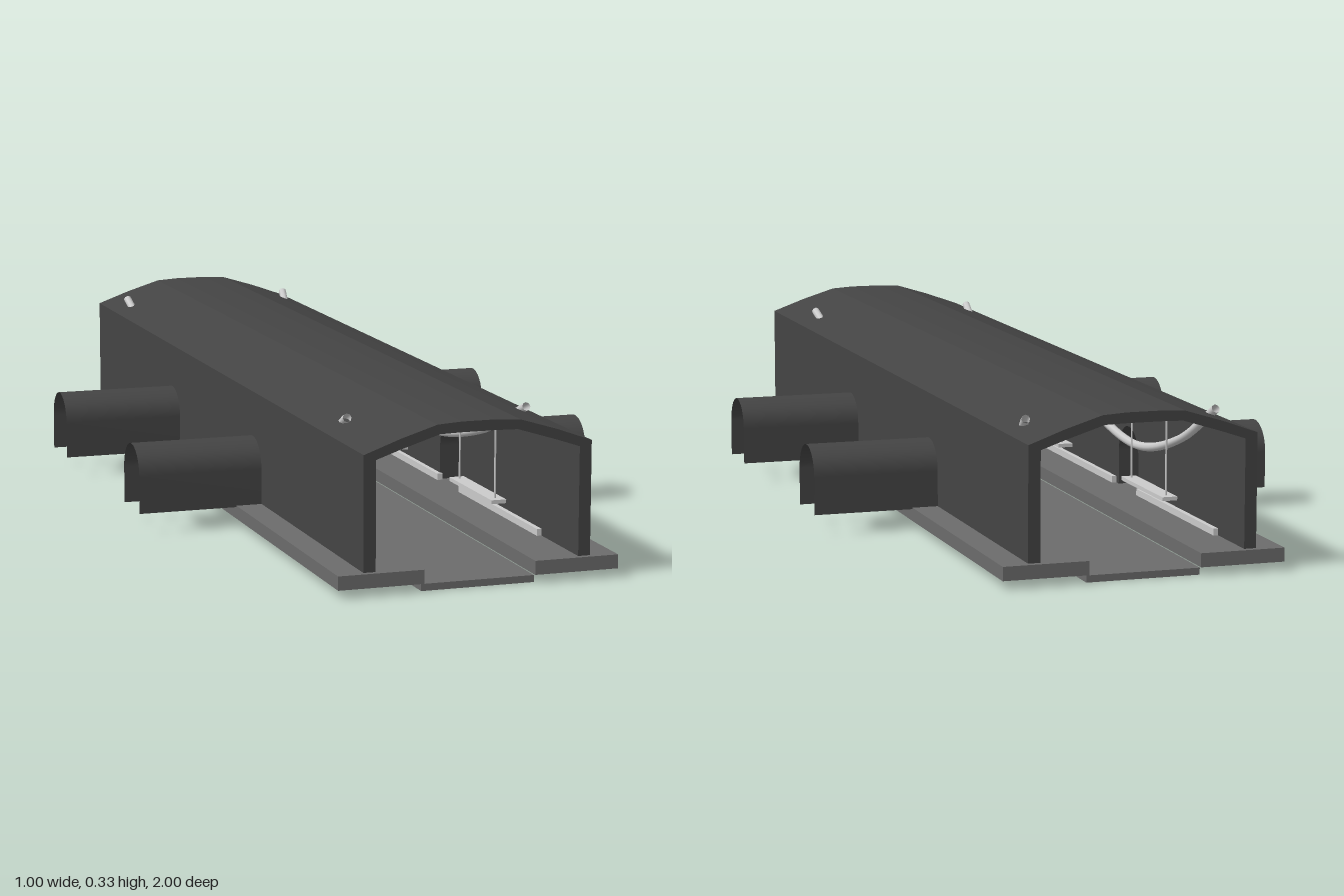
import * as THREE from 'three';

const mat = (color) => new THREE.MeshStandardMaterial({ color, side: THREE.DoubleSide });

export function createModel() {
  const station = new THREE.Group();
  station.name = 'tunnelHall';
  const dark = mat(0x444444), concrete = mat(0x6c6c6c), light = mat(0xcccccc);
  const archZ = [0.28, -0.335], archR = 0.06, floorY = 0.044, springY = 0.12;

  const add = (name, geometry, material, x = 0, y = 0, z = 0) => {
    const mesh = new THREE.Mesh(geometry, material);
    mesh.name = name;
    mesh.position.set(x, y, z);
    station.add(mesh);
    return mesh;
  };
  const box = (name, material, x0, x1, y0, y1, z0, z1) =>
    add(name, new THREE.BoxGeometry(x1 - x0, y1 - y0, z1 - z0), material,
      (x0 + x1) / 2, (y0 + y1) / 2, (z0 + z1) / 2);

  // Sunken track bed
  box('trackBed', concrete, -0.117, 0.117, 0, 0.014, -0.988, 0.988);

  // Vaulted roof slab, one folded section along the hall
  const roof = new THREE.Shape();
  const outer = [[0.235, 0.275], [0.16, 0.302], [0.085, 0.325], [0.035, 0.328]];
  const inner = [[0.035, 0.307], [0.08, 0.306], [0.16, 0.281], [0.21, 0.264], [0.235, 0.264]];
  const mirror = (list) => list.map(([x, y]) => [-x, y]).reverse();
  const section = [...outer, ...mirror(outer), ...mirror(inner), ...inner];
  roof.setFromPoints(section.map(([x, y]) => new THREE.Vector2(x, y)));
  add('roof', new THREE.ExtrudeGeometry(roof, { depth: 1.975, bevelEnabled: false }), dark, 0, 0, -0.987);

  // Wall outline in (-z, y), with an open archway for each side passage
  const wall = new THREE.Shape();
  wall.moveTo(-0.988, floorY);
  for (const z of archZ) {
    wall.lineTo(-z - archR, floorY);
    wall.lineTo(-z - archR, springY);
    wall.absarc(-z, springY, archR, Math.PI, 0, true);
    wall.lineTo(-z + archR, floorY);
  }
  wall.lineTo(0.987, floorY);
  wall.lineTo(0.987, 0.266);
  wall.lineTo(-0.988, 0.266);
  const wallGeometry = new THREE.ExtrudeGeometry(wall, { depth: 0.025, bevelEnabled: false, curveSegments: 16 });
  wallGeometry.rotateY(Math.PI / 2);

  // Thin arched passage: a sheet bent over straight sides and a half circle
  const passage = new THREE.PlaneGeometry(1, 1, 1, 18);
  const p = passage.attributes.position;
  for (let i = 0; i < p.count; i++) {
    const row = Math.floor(i / 2);
    const a = Math.PI * Math.min(Math.max((row - 1) / 16, 0), 1);
    const y = row === 0 || row === 18 ? 0.042 : springY + archR * Math.sin(a);
    p.setXYZ(i, i % 2 ? 0.5 : 0.21, y, archR * Math.cos(a));
  }
  passage.computeVertexNormals();

  for (const s of [1, -1]) {
    const side = s > 0 ? 'left' : 'right';
    const sideBox = (name, m, a, b, ...rest) =>
      box(side + name, m, Math.min(s * a, s * b), Math.max(s * a, s * b), ...rest);

    sideBox('Platform', concrete, 0.115, 0.29, 0.017, 0.045, -1, 1);
    add(side + 'Wall', wallGeometry, dark, s > 0 ? 0.21 : -0.235);
    for (const z of archZ) {
      const g = passage.clone();
      if (s < 0) g.rotateY(Math.PI);
      add(side + 'Passage', g, dark, 0, 0, z);
    }

    // Cable draped in two swags from the roof
    const path = [
      [0.19, 0.303, 0.76], [0.172, 0.22, 0.56], [0.158, 0.174, 0.28], [0.149, 0.22, 0.04],
      [0.14, 0.28, -0.1], [0.149, 0.22, -0.25], [0.16, 0.174, -0.52],
      [0.178, 0.22, -0.72], [0.198, 0.303, -0.86],
    ].map(([x, y, z]) => new THREE.Vector3(s * x, y, z));
    add(side + 'Cable', new THREE.TubeGeometry(new THREE.CatmullRomCurve3(path), 80, 0.009, 8), light);

    // Hanging lamp trays on thin rods
    for (const z of [0.6, 0.02, -0.62]) {
      sideBox('LampTray', light, 0.133, 0.165, 0.098, 0.106, z - 0.12, z + 0.12);
      for (const dz of [-0.1, 0.1]) {
        add(side + 'LampRod', new THREE.CylinderGeometry(0.002, 0.002, 0.186, 6), light, s * 0.148, 0.195, z + dz);
      }
    }

    // Low ledges at the foot of the walls, between the archways
    for (const [z0, z1] of [[0.36, 0.8], [-0.26, 0.23], [-0.85, -0.41]]) {
      sideBox('Ledge', light, 0.2, 0.212, 0.045, 0.059, z0, z1);
    }
  }
  return station;
}
